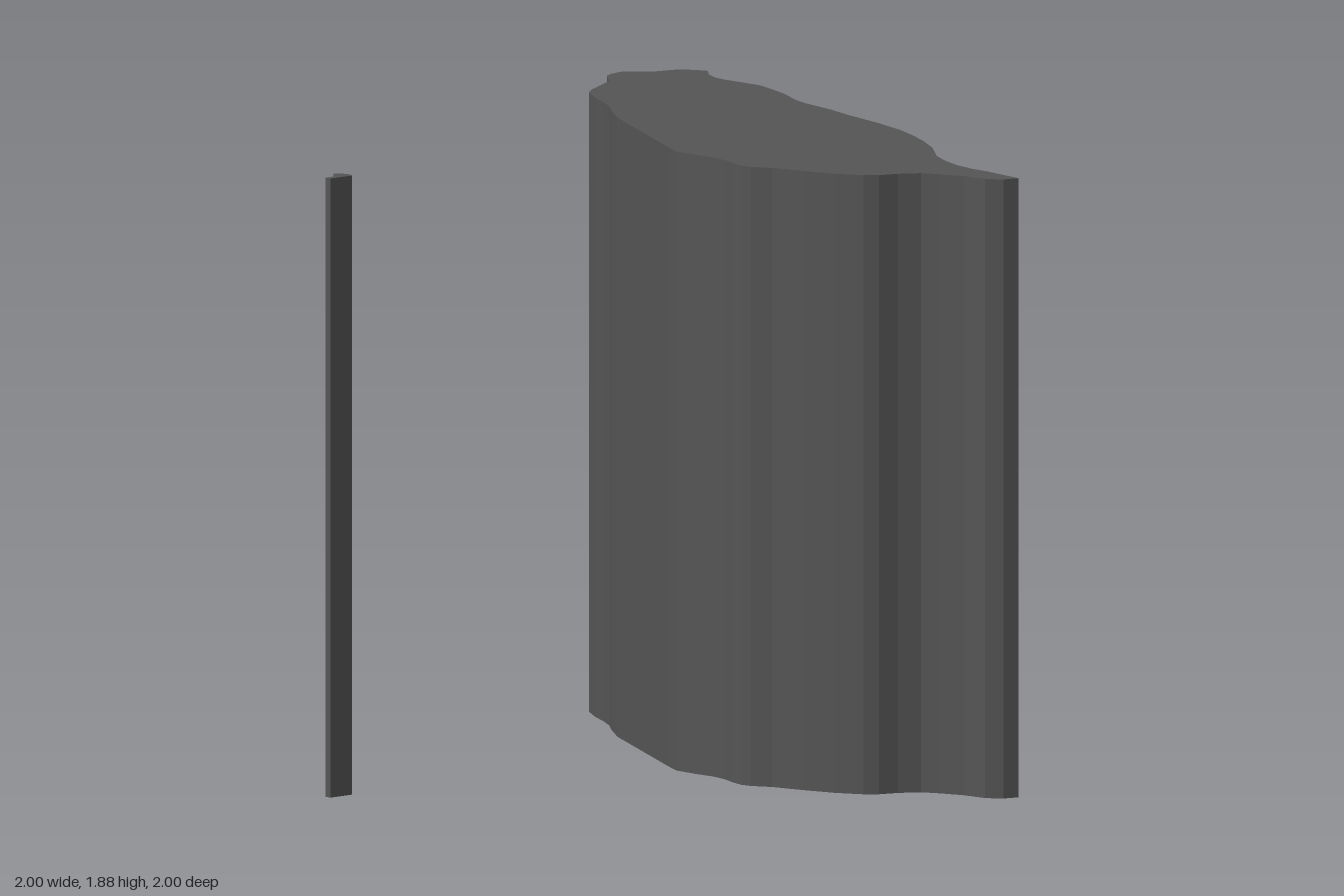
import * as THREE from 'three';

const HEIGHT = 1.88;

// Outlines as [x, z], seen from above
const mainOutline = [
  // rear tip and right-hand shore
  [0.77, -1], [0.815, -1], [0.875, -0.935], [0.955, -0.9], [0.98, -0.865], [1, -0.82],
  [0.96, -0.78], [0.94, -0.74], [0.933, -0.695], [0.94, -0.555], [0.917, -0.48], [0.89, -0.405],
  [0.842, -0.315], [0.826, -0.26], [0.805, -0.14], [0.778, -0.04], [0.75, 0.095], [0.714, 0.225],
  [0.68, 0.305], [0.634, 0.395], [0.575, 0.487], [0.49, 0.583], [0.452, 0.652], [0.425, 0.727],
  // front tip
  [0.414, 0.797], [0.414, 0.86], [0.4, 1], [0.355, 0.98], [0.323, 0.935], [0.313, 0.86],
  // left-hand shore back to the rear
  [0.286, 0.786], [0.26, 0.733], [0.206, 0.69], [0.152, 0.663], [0.12, 0.63], [0.078, 0.55],
  [0.045, 0.45], [0.019, 0.353], [-0.013, 0.294], [-0.019, 0.262], [-0.008, 0.214], [0.01, 0.17],
  [0.019, 0.112], [0.013, 0.043], [0.013, -0.032], [0.04, -0.086], [0.28, -0.52], [0.345, -0.604],
  [0.393, -0.658], [0.43, -0.717], [0.463, -0.78], [0.51, -0.85], [0.554, -0.877], [0.687, -0.93],
  [0.714, -0.963], [0.74, -0.99],
];
const isletOutline = [
  [-1, -0.52], [-0.965, -0.515], [-0.933, -0.55], [-0.91, -0.51], [-0.92, -0.485], [-1, -0.5],
];

// Raises an outline into an upright prism standing on y = 0
function prism(name, outline, material) {
  const shape = new THREE.Shape(outline.map(([x, z]) => new THREE.Vector2(x, -z)));
  const geometry = new THREE.ExtrudeGeometry(shape, { depth: HEIGHT, bevelEnabled: false });
  geometry.rotateX(-Math.PI / 2);
  const mesh = new THREE.Mesh(geometry, material);
  mesh.name = name;
  return mesh;
}

export function createModel() {
  const group = new THREE.Group();
  group.name = 'extrudedIslands';
  const material = new THREE.MeshStandardMaterial({ color: 0x555555, flatShading: true });
  group.add(prism('mainIsland', mainOutline, material));
  group.add(prism('islet', isletOutline, material));
  return group;
}
